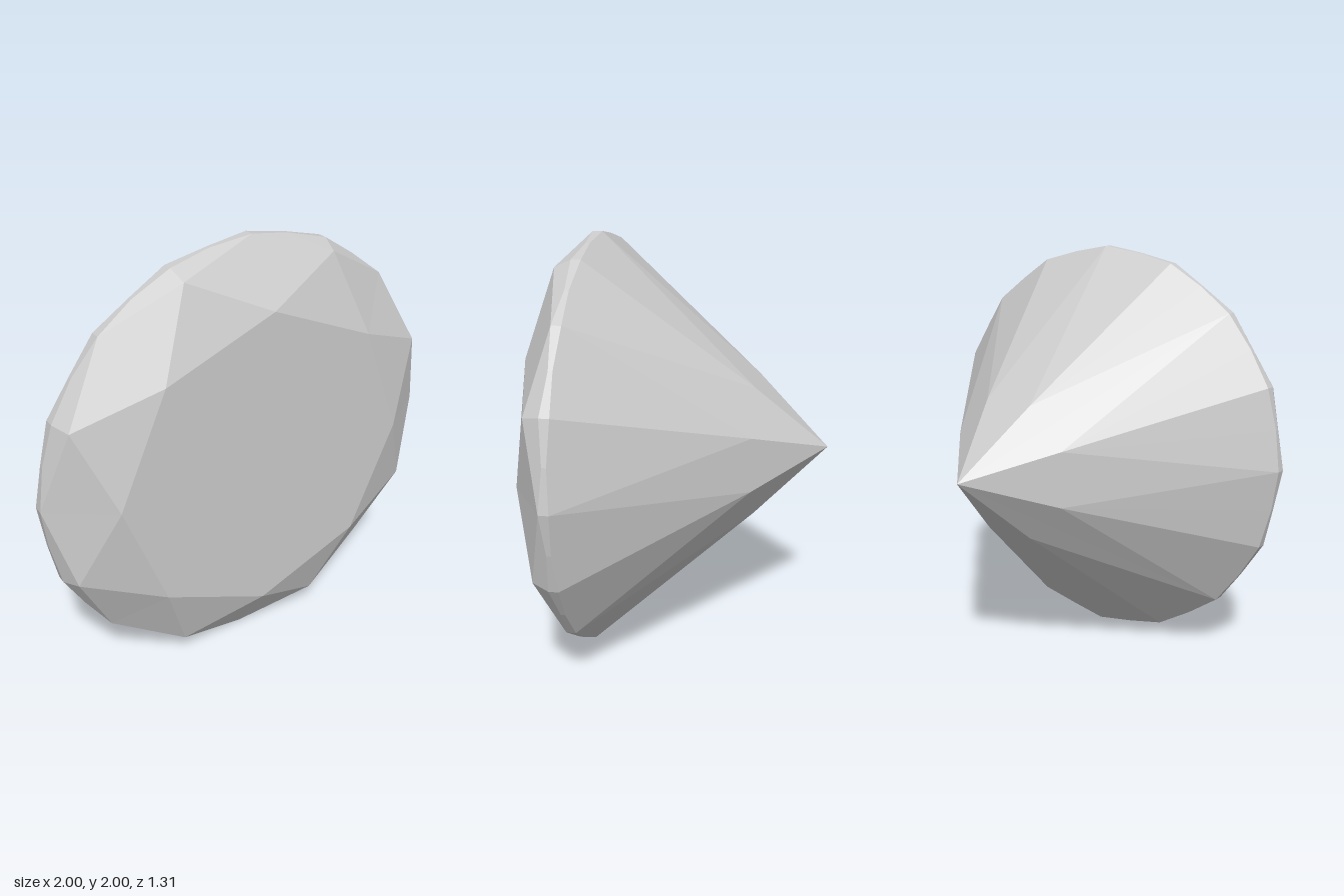
import * as THREE from 'three';

// Point on a ring around the gem's axis; step counts 1/32 turns
const ring = (step, r, z) => {
  const a = (step / 32) * Math.PI * 2;
  return [r * Math.cos(a), 1 + r * Math.sin(a), z];
};

// Flat-shaded mesh from convex facets, corners counter-clockwise from outside
function facetMesh(name, facets) {
  const pos = [];
  for (const f of facets)
    for (let i = 1; i < f.length - 1; i++) pos.push(...f[0], ...f[i], ...f[i + 1]);
  const geo = new THREE.BufferGeometry();
  geo.setAttribute('position', new THREE.Float32BufferAttribute(pos, 3));
  geo.computeVertexNormals();
  const mesh = new THREE.Mesh(geo, new THREE.MeshStandardMaterial({ color: 0xcccccc, flatShading: true }));
  mesh.name = name;
  return mesh;
}

export function createModel() {
  const tablePt = s => ring(s, 0.725, 0.653);
  const crownPt = s => ring(s, 0.96, 0.55);
  const pavilionPt = s => ring(s, 0.34, -0.316);
  const culet = [0, 1, -0.655];
  // Scalloped girdle edges: odd steps dip towards each other
  const girdleFront = s => (s % 2 ? ring(s, 0.989, 0.454) : ring(s, 1, 0.47));
  const girdleBack = s => (s % 2 ? ring(s, 0.989, 0.434) : ring(s, 1, 0.425));

  const table = [[]], crown = [], girdle = [], pavilion = [];
  for (let s = 0; s < 32; s += 4) {
    table[0].push(tablePt(s));
    // Star facet, kite facet and the two upper girdle facets
    crown.push([tablePt(s), crownPt(s + 2), tablePt(s + 4)]);
    crown.push([tablePt(s), crownPt(s - 2), girdleFront(s), crownPt(s + 2)]);
    // Main pavilion kite
    pavilion.push([culet, pavilionPt(s + 2), girdleBack(s), pavilionPt(s - 2)]);
    for (const h of [s, s + 2]) {
      crown.push([crownPt(s + 2), girdleFront(h), girdleFront(h + 1), girdleFront(h + 2)]);
      pavilion.push([pavilionPt(s + 2), girdleBack(h + 2), girdleBack(h + 1), girdleBack(h)]);
    }
  }
  for (let s = 0; s < 32; s++)
    girdle.push([girdleFront(s), girdleBack(s), girdleBack(s + 1), girdleFront(s + 1)]);

  const gem = new THREE.Group();
  gem.name = 'gem';
  gem.add(
    facetMesh('table', table),
    facetMesh('crown', crown),
    facetMesh('girdle', girdle),
    facetMesh('pavilion', pavilion)
  );
  return gem;
}
